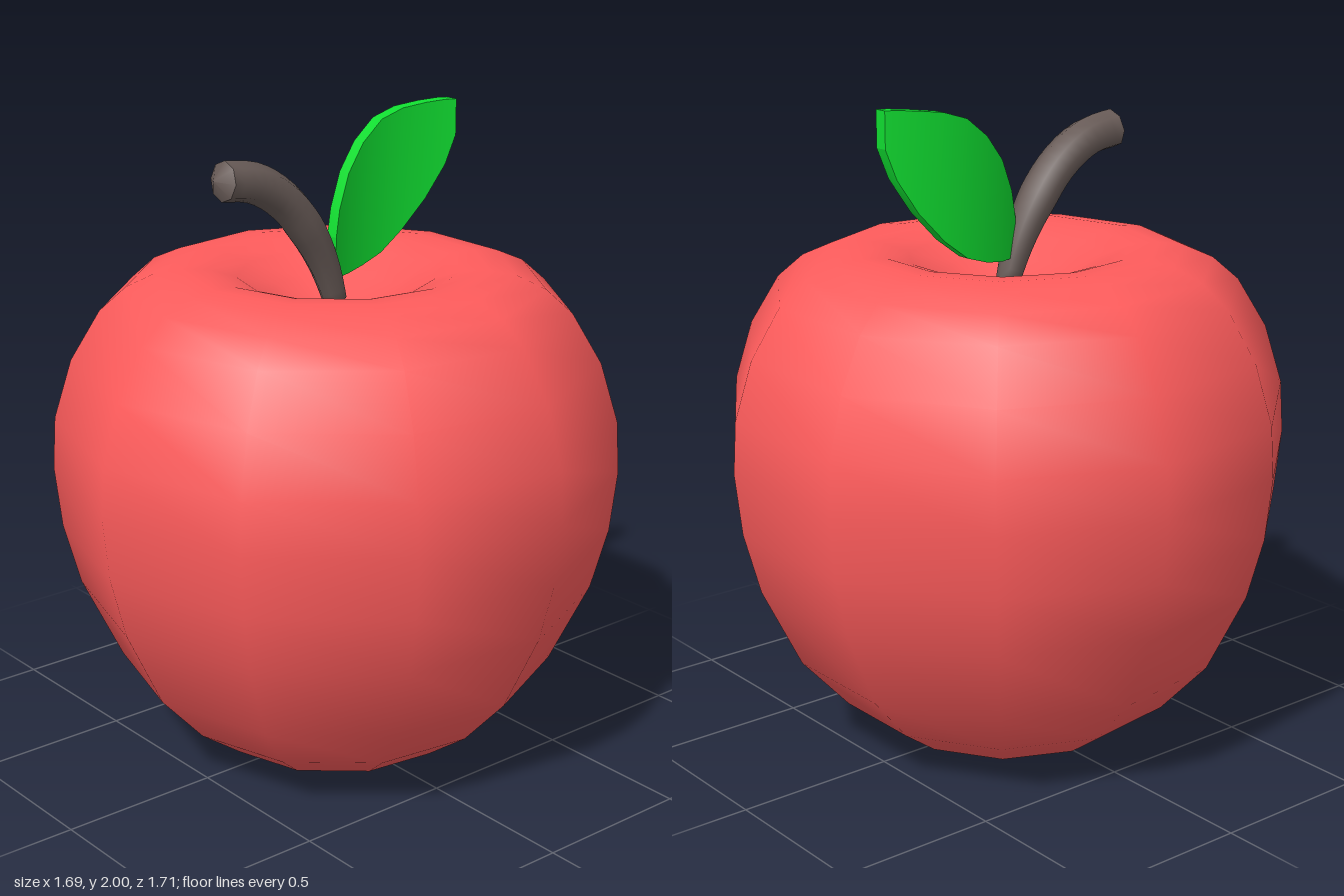
import * as THREE from 'three';
import { toCreasedNormals } from 'three/addons/utils/BufferGeometryUtils.js';

const paint = (color) => new THREE.MeshStandardMaterial({ color });

function part(name, geometry, color) {
  const mesh = new THREE.Mesh(geometry, paint(color));
  mesh.name = name;
  return mesh;
}

// Eleven-sided smooth fruit with a dimple at each end, [radius, height]
function createFruit() {
  const profile = [
    [0, 0.05], [0.07, 0.025], [0.14, 0.002], [0.29, 0.02], [0.39, 0.05], [0.53, 0.15],
    [0.675, 0.31], [0.795, 0.56], [0.845, 0.75], [0.865, 0.94], [0.855, 1.1], [0.8, 1.28],
    [0.71, 1.43], [0.63, 1.5], [0.54, 1.54], [0.46, 1.55], [0.38, 1.545], [0.3, 1.52],
    [0.2, 1.465], [0.1, 1.42], [0, 1.4],
  ].map(([r, y]) => new THREE.Vector2(r, y));
  const fruit = part('fruit', new THREE.LatheGeometry(profile, 11, -Math.PI / 2), 0xff5c5c);
  fruit.position.x = 0.015;
  return fruit;
}

// Curved stalk, thin at the root, thicker at the tip and closed by a shallow cone
function createStalk() {
  const path = new THREE.CatmullRomCurve3([
    [0.02, 1.41], [-0.03, 1.55], [-0.09, 1.66], [-0.18, 1.77], [-0.29, 1.84], [-0.435, 1.865],
  ].map(([x, y]) => new THREE.Vector3(x, y, 0)));
  const rings = 20, sides = 8;
  const geometry = new THREE.TubeGeometry(path, rings, 1, sides);
  const position = geometry.attributes.position;
  const vertex = new THREE.Vector3();
  for (let i = 0; i < position.count; i++) {
    const t = Math.floor(i / (sides + 1)) / rings;
    const centre = path.getPointAt(t);
    const radius = t === 0 || t === 1 ? 0.001 : Math.min(0.06, 0.034 + 0.06 * t);
    vertex.fromBufferAttribute(position, i).sub(centre).multiplyScalar(radius).add(centre);
    position.setXYZ(i, vertex.x, vertex.y, vertex.z);
  }
  return part('stalk', toCreasedNormals(geometry, 0.9), 0x685b57);
}

// Thick leaf shaped from a box: columns of [x, lower edge, upper edge], bowed backwards
function createLeaf() {
  const columns = [
    [-0.01, 1.52, 1.64], [0.01, 1.515, 1.72], [0.06, 1.515, 1.82], [0.13, 1.525, 1.9],
    [0.21, 1.55, 1.96], [0.29, 1.61, 1.985], [0.37, 1.7, 1.995], [0.43, 1.8, 2], [0.46, 1.89, 2],
  ];
  const last = columns.length - 1;
  const geometry = new THREE.BoxGeometry(1, 1, 0.042, last, 1, 1);
  const position = geometry.attributes.position;
  for (let i = 0; i < position.count; i++) {
    const [x, low, high] = columns[Math.round((position.getX(i) + 0.5) * last)];
    const bow = 0.97 * (x - 0.22) ** 2 - 0.042;
    position.setXYZ(i, x, position.getY(i) > 0 ? high : low, position.getZ(i) + bow);
  }
  geometry.computeVertexNormals();
  return part('leaf', geometry, 0x10dc30);
}

export function createModel() {
  const model = new THREE.Group();
  model.name = 'apple';
  model.add(createFruit(), createStalk(), createLeaf());
  return model;
}
